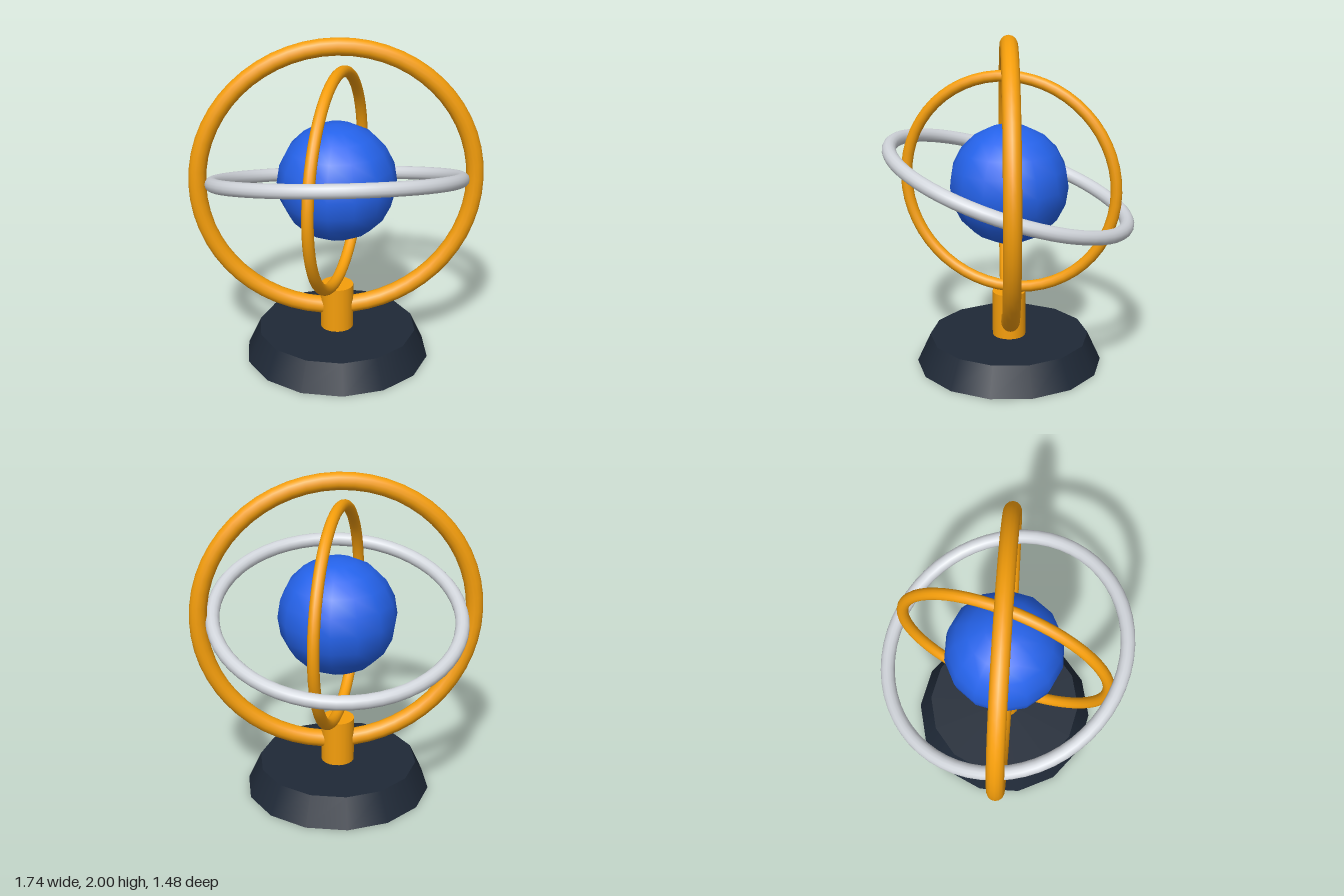
import * as THREE from 'three';

const GOLD = 0xf59e0b, SILVER = 0xd1d5db, BLUE = 0x2563eb, DARK = 0x1f2937;
const CENTER_Y = 1.13;
const TILT = Math.PI / 10;

export function createModel() {
  const model = new THREE.Group();
  model.name = 'armillarySphere';

  const add = (name, geometry, color, y) => {
    const mesh = new THREE.Mesh(geometry, new THREE.MeshStandardMaterial({ color }));
    mesh.name = name;
    mesh.position.y = y;
    model.add(mesh);
    return mesh;
  };
  const ring = (name, radius, tube, color) =>
    add(name, new THREE.TorusGeometry(radius, tube, 14, 56), color, CENTER_Y);

  // Tapered foot and short post
  add('base', new THREE.CylinderGeometry(0.48, 0.56, 0.175, 14), DARK, 0.0875);
  add('post', new THREE.CylinderGeometry(0.1, 0.1, 0.29, 20), GOLD, 0.31);

  // Globe in the middle
  add('globe', new THREE.SphereGeometry(0.355, 14, 10), BLUE, CENTER_Y);

  // Upright outer ring, facing the front
  ring('outerRing', 0.818, 0.052, GOLD);

  // Nearly level ring, raised at the front
  ring('tiltedRing', 0.735, 0.042, SILVER).rotation.x = Math.PI / 2 - TILT;

  // Upright inner ring, turned almost side-on
  ring('innerRing', 0.645, 0.034, GOLD).rotation.y = Math.PI / 2 - TILT;

  return model;
}
